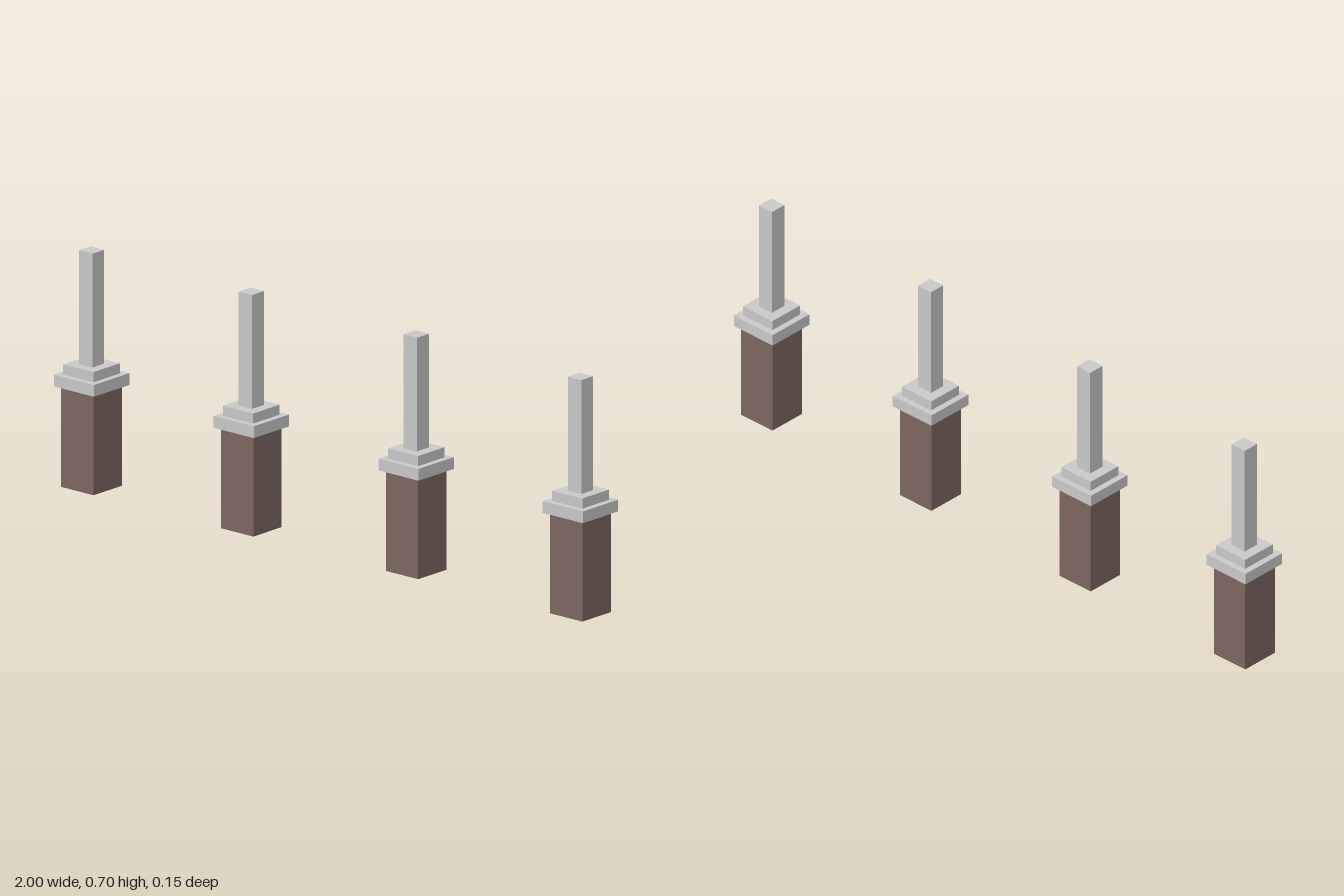
import * as THREE from 'three';

export function createModel() {
  const model = new THREE.Group();
  model.name = 'fencePosts';

  const stone = new THREE.MeshStandardMaterial({ color: 0xc9c9c9 });
  stone.name = 'light grey stone';
  const brick = new THREE.MeshStandardMaterial({ color: 0x7d665f });
  brick.name = 'brown brick';

  // Square block centred on the post axis, from y0 to y1
  const block = (name, width, y0, y1, material) => {
    const mesh = new THREE.Mesh(new THREE.BoxGeometry(width, y1 - y0, width), material);
    mesh.position.y = (y0 + y1) / 2;
    mesh.name = name;
    return mesh;
  };

  // Brick sides around a stone core that shows on the top and underside
  const pierFaces = [brick, brick, stone, stone, brick, brick];

  [-0.924, -0.32, 0.303, 0.924].forEach((x, i) => {
    const post = new THREE.Group();
    post.name = `post${i + 1}`;
    post.position.x = x;
    post.add(
      block('brickPier', 0.122, 0, 0.299, pierFaces),
      block('capSlab', 0.152, 0.299, 0.334, stone),
      block('capStep', 0.114, 0.334, 0.364, stone),
      block('pole', 0.051, 0.364, 0.702, stone),
    );
    model.add(post);
  });

  return model;
}
